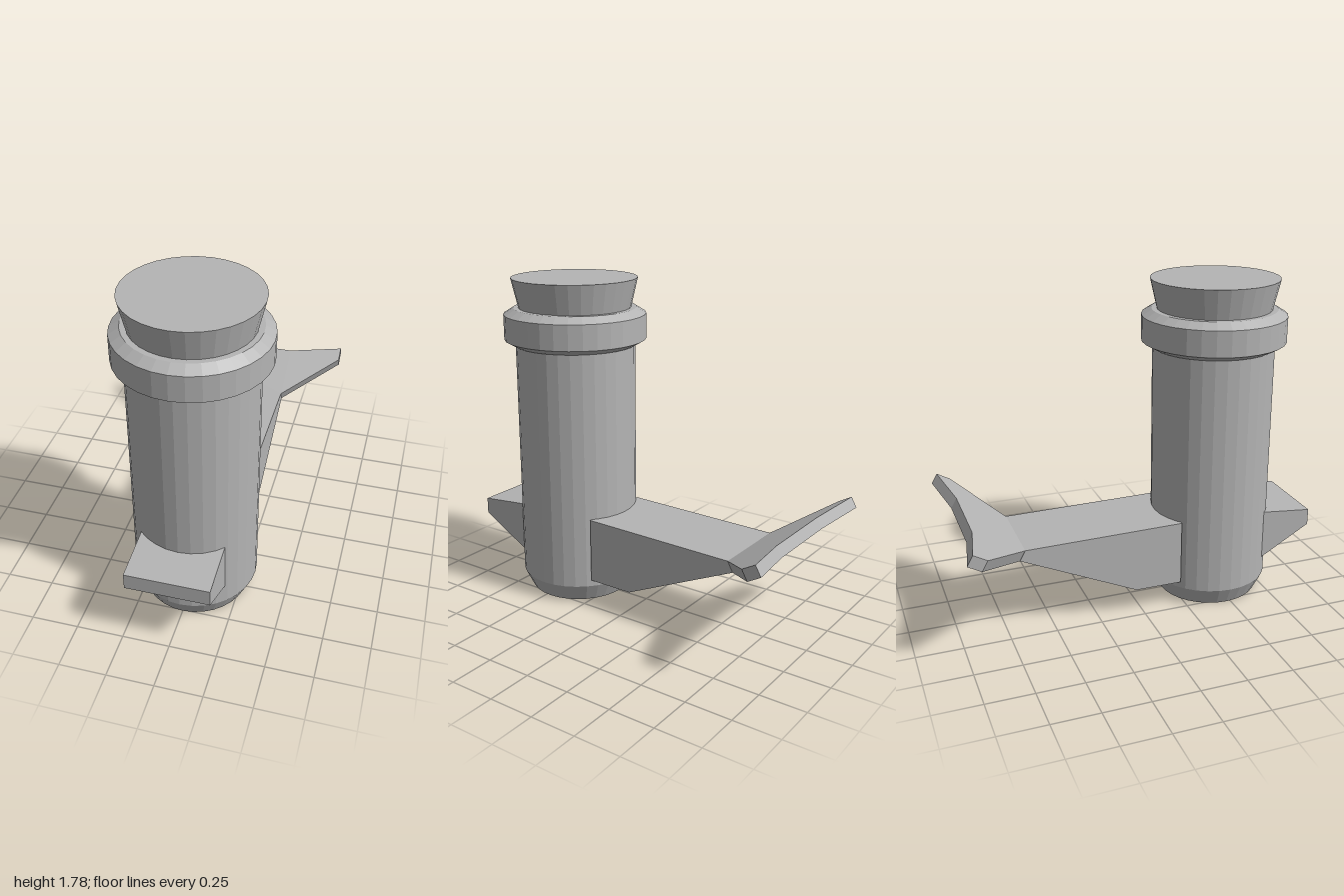
import * as THREE from 'three';

const gray = new THREE.MeshStandardMaterial({ color: 0xb4b4b4, flatShading: true });
gray.name = 'plain gray';

const HALF_WIDTH = 0.22; // half width of spout and tail
const AXIS_Z = 0.475;    // the body's upright axis

function part(name, geometry) {
  const mesh = new THREE.Mesh(geometry, gray);
  mesh.name = name;
  return mesh;
}

function shapeOf(points) {
  return new THREE.Shape(points.map(([x, y]) => new THREE.Vector2(x, y)));
}

// Turned part from [radius, y] points, bottom to top
function turned(name, points) {
  const profile = points.map(([r, y]) => new THREE.Vector2(r, y));
  const mesh = part(name, new THREE.LatheGeometry(profile, 32));
  mesh.position.z = AXIS_Z;
  return mesh;
}

// Side outline of [z, y] points, extended across x
function sidePrism(name, points) {
  const geometry = new THREE.ExtrudeGeometry(shapeOf(points.map(([z, y]) => [-z, y])), {
    depth: HALF_WIDTH * 2, bevelEnabled: false,
  });
  geometry.translate(0, 0, -HALF_WIDTH);
  geometry.rotateY(Math.PI / 2);
  return part(name, geometry);
}

export function createModel() {
  const model = new THREE.Group();
  model.name = 'bottle with tail';

  // Body, collar and stopper
  model.add(
    turned('body', [[0, 0], [0.28, 0], [0.328, 0.1], [0.328, 1.45]]),
    turned('collar', [[0.32, 1.42], [0.335, 1.42], [0.388, 1.45], [0.388, 1.587], [0.335, 1.62], [0, 1.62]]),
    turned('stopper', [[0.305, 1.615], [0.343, 1.78], [0, 1.78]]),
  );

  // Front spout
  model.add(sidePrism('spout', [[1, 0.46], [1, 0.37], [0.71, 0.205], [0.71, 0.488]]));

  // Tail base tapering towards the fluke
  model.add(sidePrism('tail', [[0.22, 0.5], [-0.65, 0.487], [-0.68, 0.432], [-0.04, 0.14], [0.22, 0.14]]));

  // Forked fluke, sloping up and back
  const right = [[HALF_WIDTH, 0], [0.527, 0.287], [0.527, 0.367], [HALF_WIDTH, 0.304]];
  const left = right.map(([x, y]) => [-x, y]).reverse();
  const thickness = 0.0625;
  const flukeGeometry = new THREE.ExtrudeGeometry(shapeOf([...right, ...left]), {
    depth: thickness, bevelEnabled: false,
  });
  flukeGeometry.translate(0, 0, -thickness);
  const fluke = part('fluke', flukeGeometry);
  fluke.rotation.x = THREE.MathUtils.degToRad(29.4) - Math.PI / 2;
  fluke.position.set(0, 0.487, -0.65);
  model.add(fluke);

  return model;
}
